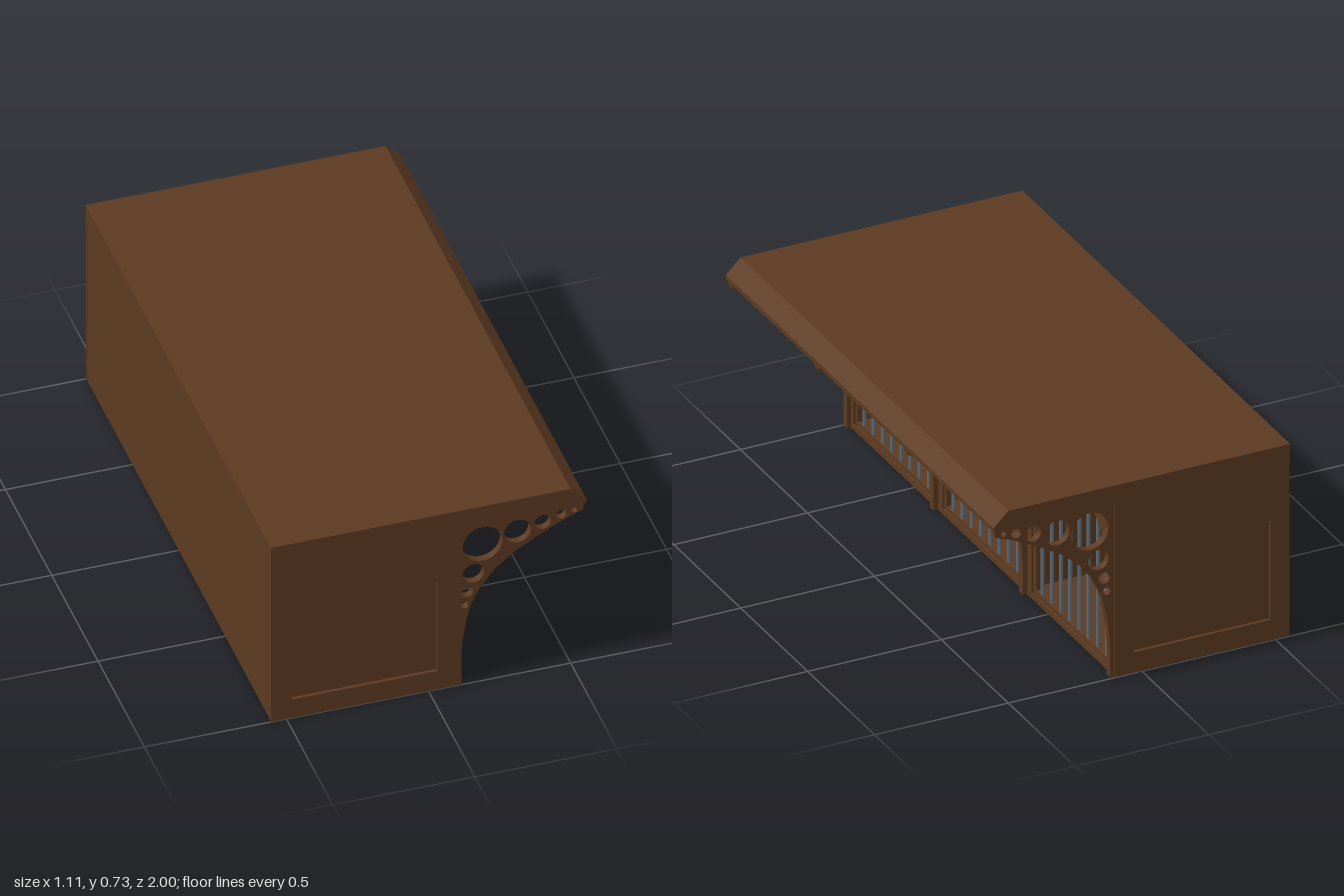
import * as THREE from 'three';

const wood = new THREE.MeshStandardMaterial({ color: 0x5c3a21 });
wood.name = 'brown wood';
const steel = new THREE.MeshStandardMaterial({ color: 0x5b6b78 });
steel.name = 'grey steel';
const lockMetal = new THREE.MeshStandardMaterial({ color: 0x666666 });
lockMetal.name = 'lock metal';

const polygon = (pts) => new THREE.Shape(pts.map(([x, y]) => new THREE.Vector2(x, y)));

function add(parent, name, geometry, material, x = 0, y = 0, z = 0) {
  const mesh = new THREE.Mesh(geometry, material);
  mesh.name = name;
  mesh.position.set(x, y, z);
  parent.add(mesh);
  return mesh;
}

const extrude = (shape, depth) =>
  new THREE.ExtrudeGeometry(shape, { depth, bevelEnabled: false, curveSegments: 24 });

// Box given by its limits on each axis
function slab(parent, name, [x0, x1], [y0, y1], [z0, z1], material = wood) {
  return add(parent, name, new THREE.BoxGeometry(x1 - x0, y1 - y0, z1 - z0), material,
    (x0 + x1) / 2, (y0 + y1) / 2, (z0 + z1) / 2);
}

// Doorway outline: straight sides under a half circle
const SPRING = 0.328;
function arch(path, r, bottom) {
  path.moveTo(-r, bottom);
  path.lineTo(r, bottom);
  path.lineTo(r, SPRING);
  path.absarc(0, SPRING, r, 0, Math.PI, false);
  path.lineTo(-r, bottom);
  return path;
}

// Arched front of one cell, facing local +z before it is turned towards +x
function cellFront(z) {
  const front = new THREE.Group();
  front.name = 'cellFront';

  const wall = polygon([[-0.32, 0], [0.32, 0], [0.32, 0.665], [-0.32, 0.665]]);
  wall.holes.push(arch(new THREE.Path(), 0.29, 0.02));
  add(front, 'archWall', extrude(wall, 0.03), wood, 0, 0, 0.07);

  const frame = arch(new THREE.Shape(), 0.29, 0.02);
  frame.holes.push(arch(new THREE.Path(), 0.272, 0.036));
  add(front, 'doorFrame', extrude(frame, 0.02), wood, 0, 0, 0.073);

  for (let i = 0; i < 8; i++) {
    const u = (i - 3.5) * 0.0688;
    const top = SPRING + Math.sqrt(0.275 ** 2 - u * u);
    const length = top - 0.03;
    add(front, 'bar', new THREE.CylinderGeometry(0.007, 0.007, length, 10), steel,
      u, 0.03 + length / 2, 0.083);
  }
  add(front, 'lock', new THREE.BoxGeometry(0.06, 0.052, 0.03), lockMetal, 0.243, 0.26, 0.085);

  front.rotation.y = Math.PI / 2;
  front.position.z = z;
  return front;
}

// End wall with a sunken eight-cornered panel on its outer side
function endWall(side) {
  const wall = new THREE.Group();
  wall.name = 'endWall';
  const outline = polygon([[-0.555, 0], [0.1, 0], [0.1, 0.665], [-0.555, 0.665]]);
  outline.holes.push(new THREE.Path(polygon([[-0.483, 0.077], [0.03, 0.077], [0.03, 0.45],
    [-0.113, 0.59], [-0.345, 0.59], [-0.483, 0.45]]).getPoints()));
  const outer = side > 0 ? 1 : 0.996;
  add(wall, 'panelSurround', extrude(outline, 0.012), wood,
    0, 0, side > 0 ? outer - 0.012 : -outer);
  const z = [side * (outer - 0.028), side * (outer - 0.012)].sort((a, b) => a - b);
  slab(wall, 'sunkenPanel', [-0.55, 0.099], [0.002, 0.664], z);
  return wall;
}

// Curved roof bracket pierced by a row of shrinking circles
function bracketGeometry(depth) {
  const shape = polygon([[0.09, 0], [0.115, 0], [0.115, 0.12], [0.12, 0.19], [0.132, 0.26],
    [0.15, 0.33], [0.18, 0.39], [0.23, 0.455], [0.295, 0.51], [0.38, 0.56], [0.48, 0.61],
    [0.545, 0.635], [0.545, 0.665], [0.09, 0.665]]);
  const circles = [[0.19, 0.573, 0.07], [0.313, 0.597, 0.047], [0.402, 0.615, 0.029],
    [0.467, 0.632, 0.018], [0.513, 0.64, 0.01], [0.158, 0.457, 0.038],
    [0.136, 0.383, 0.021], [0.127, 0.331, 0.014]];
  for (const [x, y, r] of circles) {
    shape.holes.push(new THREE.Path().absarc(x, y, r, 0, Math.PI * 2, true));
  }
  return extrude(shape, depth);
}

export function createModel() {
  const model = new THREE.Group();
  model.name = 'cellBlock';

  // Roof slab with a chamfered front edge
  const roof = polygon([[-0.555, 0.66], [0.555, 0.66], [0.555, 0.677], [0.5, 0.73], [-0.555, 0.73]]);
  add(model, 'roof', extrude(roof, 2), wood, 0, 0, -1);

  // Shell
  slab(model, 'floor', [-0.55, 0.1], [0, 0.02], [-0.99, 0.99]);
  slab(model, 'backWall', [-0.553, -0.525], [0, 0.665], [-0.995, 0.999]);
  model.add(endWall(1), endWall(-1));

  // Brackets, with partitions behind the two middle ones
  const bracket = bracketGeometry(0.027);
  for (const z of [0.973, 0.326, -0.34, -0.992]) add(model, 'bracket', bracket, wood, 0, 0, z);
  for (const z of [0.34, -0.327]) {
    slab(model, 'partition', [-0.53, 0.095], [0.01, 0.664], [z - 0.013, z + 0.013]);
  }

  // Three barred fronts
  for (const z of [0.665, 0, -0.665]) model.add(cellFront(z));

  return model;
}
